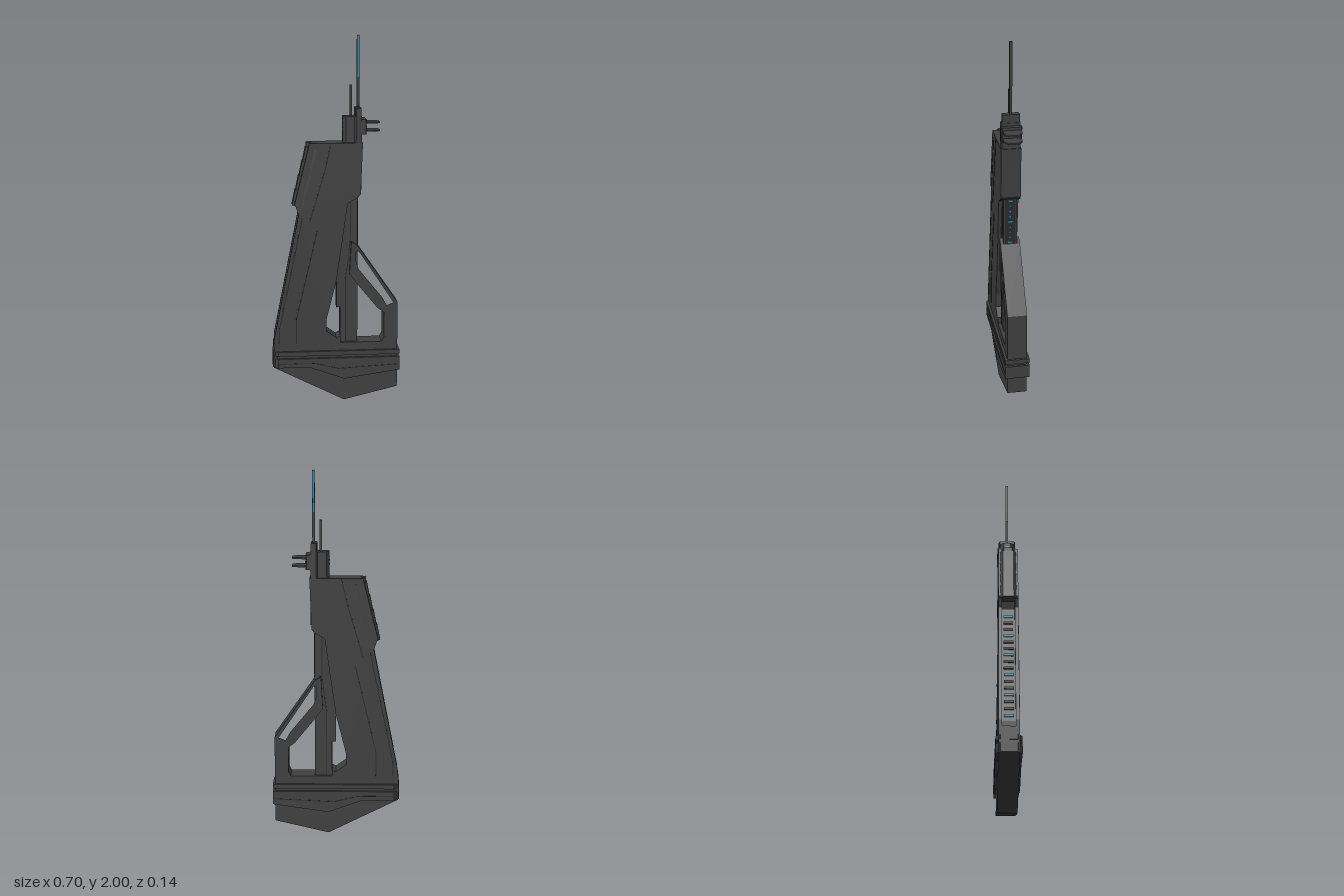
import * as THREE from 'three';

const mat = (name, color) => Object.assign(new THREE.MeshStandardMaterial({ color }), { name });

export function createModel() {
  const model = new THREE.Group();
  model.name = 'deviceModel';
  const shell = mat('charcoal shell', 0x404040);
  const dark = mat('dark recess', 0x2b2b2b);
  const glow = mat('blue glow', 0x2590b4);

  const add = (name, geo, m, parent = model) => {
    const mesh = new THREE.Mesh(geo, m);
    mesh.name = name;
    parent.add(mesh);
    return mesh;
  };
  const toShape = (pts) => new THREE.Shape(pts.map(([x, y]) => new THREE.Vector2(x, y)));

  // Front outline extruded along z, from z0 to z1
  const slab = (name, pts, z0, z1, m = shell, holes = []) => {
    const s = toShape(pts);
    holes.forEach((h) => s.holes.push(toShape(h)));
    const g = new THREE.ExtrudeGeometry(s, { depth: z1 - z0, bevelEnabled: false });
    g.translate(0, 0, z0);
    return add(name, g, m);
  };
  // Top outline (x, z), symmetric in z, extruded upward from y0 to y1
  const deck = (name, half, y0, y1, m = shell) => {
    const pts = [...half, ...half.slice().reverse().map(([x, z]) => [x, -z])];
    const g = new THREE.ExtrudeGeometry(toShape(pts), { depth: y1 - y0, bevelEnabled: false });
    g.rotateX(-Math.PI / 2);
    g.translate(0, y0, 0);
    return add(name, g, m);
  };
  const box = (name, x0, x1, y0, y1, hz, m = shell) => {
    const g = new THREE.BoxGeometry(x1 - x0, y1 - y0, hz * 2);
    g.translate((x0 + x1) / 2, (y0 + y1) / 2, 0);
    return add(name, g, m);
  };
  // Thin dark seam lines laid on both side faces
  const seam = (pts, z, w = 0.006) => {
    for (let i = 0; i < pts.length - 1; i++) {
      const [ax, ay] = pts[i], [bx, by] = pts[i + 1];
      for (const side of [-1, 1]) {
        const g = new THREE.BoxGeometry(w, Math.hypot(bx - ax, by - ay), 0.002);
        const m = add('panelSeam', g, dark);
        m.position.set((ax + bx) / 2, (ay + by) / 2, side * z);
        m.rotation.z = -Math.atan2(bx - ax, by - ay);
      }
    }
  };

  // Main body: two side plates around a core that is set back along the left edge
  const inner = [[0.14, 1.435], [0.13, 1.16], [0.115, 1.14], [0.06, 1.11], [0, 0.69], [-0.055, 0.47],
    [-0.055, 0.4], [0, 0.36], [0.02, 0.37], [0.02, 0.32]];
  const plate = [...inner, [-0.34, 0.32], [-0.34, 0.37], [-0.205, 1.05], [-0.225, 1.11], [-0.145, 1.435]];
  const core = [...inner, [-0.315, 0.32], [-0.315, 0.37], [-0.18, 1.05], [-0.2, 1.11], [-0.135, 1.435]];
  slab('sidePlate', plate, 0.034, 0.053);
  slab('sidePlate', plate, -0.053, -0.034);
  slab('bodyCore', core, -0.034, 0.034);
  seam([[-0.03, 1.432], [-0.06, 1.3], [-0.145, 1.01]], 0.0535);
  seam([[-0.105, 0.96], [-0.22, 0.47], [-0.22, 0.335]], 0.0535);
  seam([[-0.185, 1.03], [-0.312, 0.42], [-0.315, 0.335]], 0.0535);

  // Glowing ribs in the left edge channel
  for (let i = 0; i < 16; i++) {
    const t = i / 15;
    const rib = add('channelRib', new THREE.BoxGeometry(0.012, 0.012, 0.05), i % 3 ? dark : glow);
    rib.position.set(-0.313 + 0.12 * t, 0.4 + 0.6 * t, 0);
  }

  // Stepped fins on the upper left edge
  for (let i = 0; i < 4; i++) {
    const fin = deck('gripFin', [[0, 0.028], [0.02, 0.05], [0.06, 0.0545]], 0, 0.085);
    fin.position.set(-0.238 + 0.019 * i, 1.1 + 0.077 * i, 0);
    fin.rotation.z = -0.2;
    const lamp = add('finLamp', new THREE.BoxGeometry(0.005, 0.005, 0.008), glow);
    lamp.position.set(-0.204 + 0.019 * i, 1.184 + 0.077 * i, -0.04);
  }
  deck('topCap', [[-0.16, 0.022], [-0.142, 0.03], [-0.135, 0.03]], 1.38, 1.437);
  box('topLamp', -0.158, -0.154, 1.434, 1.439, 0.02, glow);

  // Right rail and its row of lights
  slab('rail', [[0.115, 0.32], [0.115, 1.16], [0.03, 1.16], [0, 0.7], [0, 0.53], [0.02, 0.53], [0.02, 0.32]],
    -0.036, 0.036);
  seam([[0.05, 0.34], [0.05, 0.69], [0.075, 0.9], [0.075, 1.13]], 0.0365, 0.005);
  box('railInset', 0.113, 0.117, 0.88, 1.15, 0.028, dark);
  for (let i = 0; i < 9; i++) {
    const d = add('railLight', new THREE.BoxGeometry(0.004, 0.008, i % 4 ? 0.008 : 0.024), glow);
    d.position.set(0.117, 0.89 + i * 0.03, 0);
  }
  box('headStrip', 0.125, 0.136, 1.18, 1.4, 0.03);

  // Handle with a slanted slot and a grip opening
  slab('handle', [[0.08, 0.9], [0.115, 0.875], [0.335, 0.555], [0.335, 0.32], [0.24, 0.32], [0.26, 0.36],
    [0.26, 0.5], [0.225, 0.525], [0.115, 0.66], [0.07, 0.72]], -0.053, 0.053, shell,
  [[[0.105, 0.845], [0.12, 0.845], [0.312, 0.555], [0.275, 0.54], [0.25, 0.585], [0.12, 0.745], [0.105, 0.79]]]);

  // Base block with raised bands
  slab('base', [[-0.345, 0.335], [-0.345, 0.2], [0.04, 0.005], [0.335, 0.075], [0.335, 0.335]], -0.053, 0.053);
  const bandHalf = [[-0.35, 0.042], [-0.32, 0.067], [0.347, 0.067]];
  deck('upperBand', bandHalf, 0.265, 0.29);
  deck('lowerBand', bandHalf, 0.2, 0.25);
  slab('bandSkirt', [[-0.3, 0.2], [-0.15, 0.2], [0.04, 0.13], [0.347, 0.175], [0.347, 0.205], [-0.3, 0.205]],
    -0.0665, 0.0665);
  seam([[-0.32, 0.222], [-0.12, 0.222], [0.01, 0.19], [0.345, 0.207]], 0.067, 0.004);

  // Emitter blocks on top
  deck('rearEmitter', [[0.035, 0.018], [0.05, 0.036], [0.1, 0.036]], 1.43, 1.575);
  for (let i = 0; i < 3; i++) box('emitterLamp', 0.033, 0.037, 1.5 + i * 0.022, 1.508 + i * 0.022, 0.01, glow);
  deck('mainEmitter', [[0.096, 0.045], [0.104, 0.052], [0.135, 0.048]], 1.43, 1.575);
  deck('emitterTop', [[0.1, 0.04], [0.105, 0.046], [0.132, 0.046]], 1.575, 1.62);
  deck('sideEmitter', [[0.13, 0.054], [0.155, 0.054], [0.16, 0.048]], 1.48, 1.56);
  box('emitterGroove', 0.15, 0.162, 1.515, 1.525, 0.045, dark);
  for (const y of [1.498, 1.541]) {
    deck('prong', [[0.155, 0.05], [0.2, 0.048], [0.232, 0.03]], y - 0.004, y + 0.004);
  }

  // Short rod and long antenna with a glowing core between two blades
  box('shortRod', 0.074, 0.086, 1.57, 1.74, 0.006);
  box('antennaBlade', 0.111, 0.1145, 1.61, 2.0, 0.007);
  box('antennaBlade', 0.1215, 0.125, 1.61, 2.0, 0.007);
  box('antennaFoot', 0.1145, 0.1215, 1.61, 1.78, 0.0065);
  box('antennaCore', 0.1145, 0.1215, 1.78, 1.998, 0.004, glow);

  return model;
}
